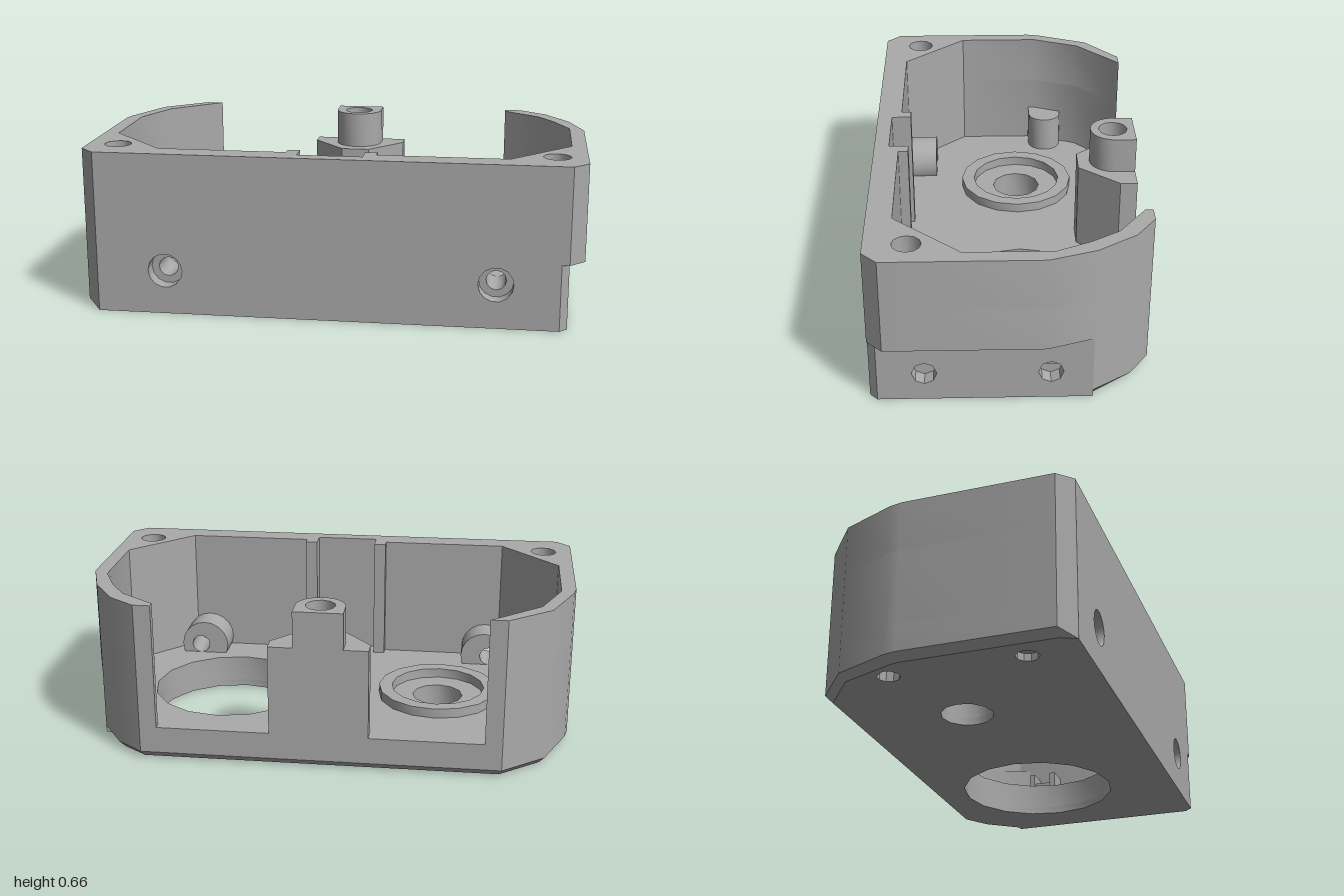
import * as THREE from 'three';
import { toCreasedNormals } from 'three/addons/utils/BufferGeometryUtils.js';

const grey = new THREE.MeshStandardMaterial({ color: 0xaaaaaa });
grey.name = 'grey plastic';

// closed outline with round holes given as [x, y, radius, sides]
function outline(points, holes = []) {
  const shape = new THREE.Shape(points.map(([x, y]) => new THREE.Vector2(x, y)));
  for (const [x, y, r, sides = 12] of holes) {
    const ring = [];
    for (let i = 0; i < sides; i++) {
      const a = (i / sides) * Math.PI * 2;
      ring.push(new THREE.Vector2(x + r * Math.cos(a), y + r * Math.sin(a)));
    }
    shape.holes.push(new THREE.Path(ring));
  }
  return shape;
}

const extrude = (points, holes, depth) =>
  new THREE.ExtrudeGeometry(outline(points, holes), { depth, bevelEnabled: false });

const circle = (cx, cy, r, sides, from = 0, to = Math.PI * 2) => {
  const closed = to - from > 6.28;
  return Array.from({ length: closed ? sides : sides + 1 }, (_, i) => {
    const a = from + ((to - from) * i) / sides;
    return [cx + r * Math.cos(a), cy + r * Math.sin(a)];
  });
};

const rect = (x0, y0, x1, y1) => [[x0, y0], [x1, y0], [x1, y1], [x0, y1]];

export function createModel() {
  const group = new THREE.Group();
  function add(name, geometry) {
    const mesh = new THREE.Mesh(toCreasedNormals(geometry, 0.6), grey);
    mesh.name = name;
    group.add(mesh);
  }
  // plan outline (x, z) raised from y0 to y1
  const plan = (points, holes, y0, y1) =>
    extrude(points, holes, y1 - y0).rotateX(Math.PI / 2).translate(0, y1, 0);
  const slab = (name, points, holes, y0, y1) => add(name, plan(points, holes, y0, y1));

  const floorTop = 0.14, step = 0.27, top = 0.66;

  // floor with a chamfered underside along the left, back and rounded corners
  const floor = [
    [-0.91, 0.54], [-0.91, 0.44], [0.88, 0.44], [0.88, -0.31], [0.94, -0.31], [0.84, -0.46], [0.73, -0.54],
    [-0.73, -0.54], [-0.9, -0.4], [-0.99, -0.18], [-1, -0.13], [-1, 0.48], [-0.94, 0.54],
  ];
  const inset = [
    [-0.91, 0.54], [-0.91, 0.44], [0.88, 0.44], [0.88, -0.31], [0.915, -0.31], [0.82, -0.44], [0.72, -0.51],
    [-0.72, -0.51], [-0.88, -0.38], [-0.96, -0.17], [-0.97, -0.13], [-0.97, 0.48], [-0.94, 0.54],
  ];
  const floorHoles = [
    [0.44, -0.06, 0.33, 16], [-0.45, -0.06, 0.105, 12],
    [-0.87, -0.21, 0.045, 10], [-0.87, 0.33, 0.045, 10],
  ];
  slab('floor', floor, floorHoles, 0.03, floorTop);
  const under = plan(floor, floorHoles, 0, 0.03);
  const pos = under.attributes.position;
  for (let i = 0; i < pos.count; i++) {
    if (pos.getY(i) > 0.01) continue;
    const k = floor.findIndex(([x, z]) => Math.hypot(x - pos.getX(i), z - pos.getZ(i)) < 1e-4);
    if (k >= 0) pos.setXYZ(i, inset[k][0], 0, inset[k][1]);
  }
  add('floorChamfer', under);

  // front wall: outer layer with counterbores, inner layer with a central slot
  const w = 0.91;
  add('frontWall', extrude(rect(-w, 0, w, top),
    [[-0.66, 0.18, 0.07, 14], [0.66, 0.18, 0.07, 14]], 0.06).translate(0, 0, 0.48));
  add('frontWallInner', extrude(
    [[-w, 0], [w, 0], [w, top], [0.13, top], [0.13, floorTop], [-0.13, floorTop], [-0.13, top], [-w, top]],
    [[-0.66, 0.18, 0.04], [0.66, 0.18, 0.04]], 0.04).translate(0, 0, 0.44));

  for (const s of [-1, 1]) {
    // slot ribs and the screw bosses behind the front wall
    slab('slotRib', rect(s * 0.155 - 0.025, 0.4, s * 0.155 + 0.025, 0.44), [], floorTop, top);
    add('frontScrewBoss', extrude(circle(s * 0.64, 0.18, 0.105, 20),
      [[s * 0.66, 0.18, 0.04]], 0.13).translate(0, 0, 0.31));
  }

  // side walls with rounded back corners and thick front corners
  const leftWall = [
    [-0.91, 0.54], [-0.94, 0.54], [-1, 0.48], [-1, -0.13], [-0.99, -0.18], [-0.9, -0.4], [-0.73, -0.54],
    [-0.66, -0.54], [-0.7, -0.505], [-0.86, -0.36], [-0.94, -0.16], [-0.94, 0.18], [-0.7, 0.44], [-0.91, 0.44],
  ];
  const rightWall = [
    [0.91, 0.54], [0.94, 0.54], [1, 0.48], [1, -0.13], [0.94, -0.31], [0.84, -0.46], [0.73, -0.54],
    [0.66, -0.54], [0.66, -0.51], [0.81, -0.4], [0.88, -0.29], [0.94, -0.16], [0.94, 0.18], [0.7, 0.44], [0.91, 0.44],
  ];
  slab('leftWall', leftWall, [], 0.03, 0.45);
  slab('leftWallTop', leftWall, [[-0.88, 0.38, 0.055]], 0.45, top);
  slab('rightWall', rightWall, [], step, 0.45);
  slab('rightWallTop', rightWall, [[0.88, 0.38, 0.055]], 0.45, top);

  // recessed lower part of the right side
  slab('rightBackCorner', [
    [0.88, -0.31], [0.94, -0.31], [0.84, -0.46], [0.73, -0.54], [0.66, -0.54], [0.66, -0.51], [0.81, -0.4], [0.88, -0.24],
  ], [], floorTop, step);
  slab('rightFrontEdge', [[0.91, 0.44], [0.94, 0.44], [0.94, 0.51], [0.91, 0.54]], [], 0, step);
  slab('rightInnerCorner', [[0.88, 0.44], [0.7, 0.44], [0.88, 0.245]], [], floorTop, step);
  add('rightLowerPlate', extrude(rect(-0.44, 0, 0.31, 0.33),
    [[-0.33, 0.12, 0.048, 8], [0.15, 0.12, 0.048, 8]], 0.06).rotateY(Math.PI / 2).translate(0.88, 0, 0));

  // small clip beside the large opening
  slab('clipBase', rect(0.8, -0.2, 0.89, -0.1), [], floorTop - 0.02, floorTop + 0.03);
  for (const z of [-0.21, -0.11]) slab('clipArm', rect(0.78, z, 0.89, z + 0.025), [], floorTop, 0.21);

  // raised collar round the small opening
  slab('collar', circle(-0.45, -0.06, 0.25, 16), [[-0.45, -0.06, 0.195, 16]], floorTop, 0.18);

  // boss against the left wall
  slab('leftBoss', [
    ...circle(-0.87, -0.21, 0.075, 12, -Math.PI / 2, Math.PI / 2), [-0.95, -0.135], [-0.93, -0.285],
  ], [], floorTop, 0.3);

  // back post: wide base and a narrow rounded top with a screw hole
  slab('postBase', [
    [-0.2, -0.54], [0.2, -0.54], [0.2, -0.47], [0.06, -0.305], [-0.06, -0.305], [-0.2, -0.47],
  ], [], floorTop, 0.51);
  slab('postTop', [
    [-0.1, -0.54], [0.1, -0.54], ...circle(0, -0.455, 0.1, 12, 0, Math.PI),
  ], [[0, -0.45, 0.06, 12]], 0.51, top);

  return group;
}
